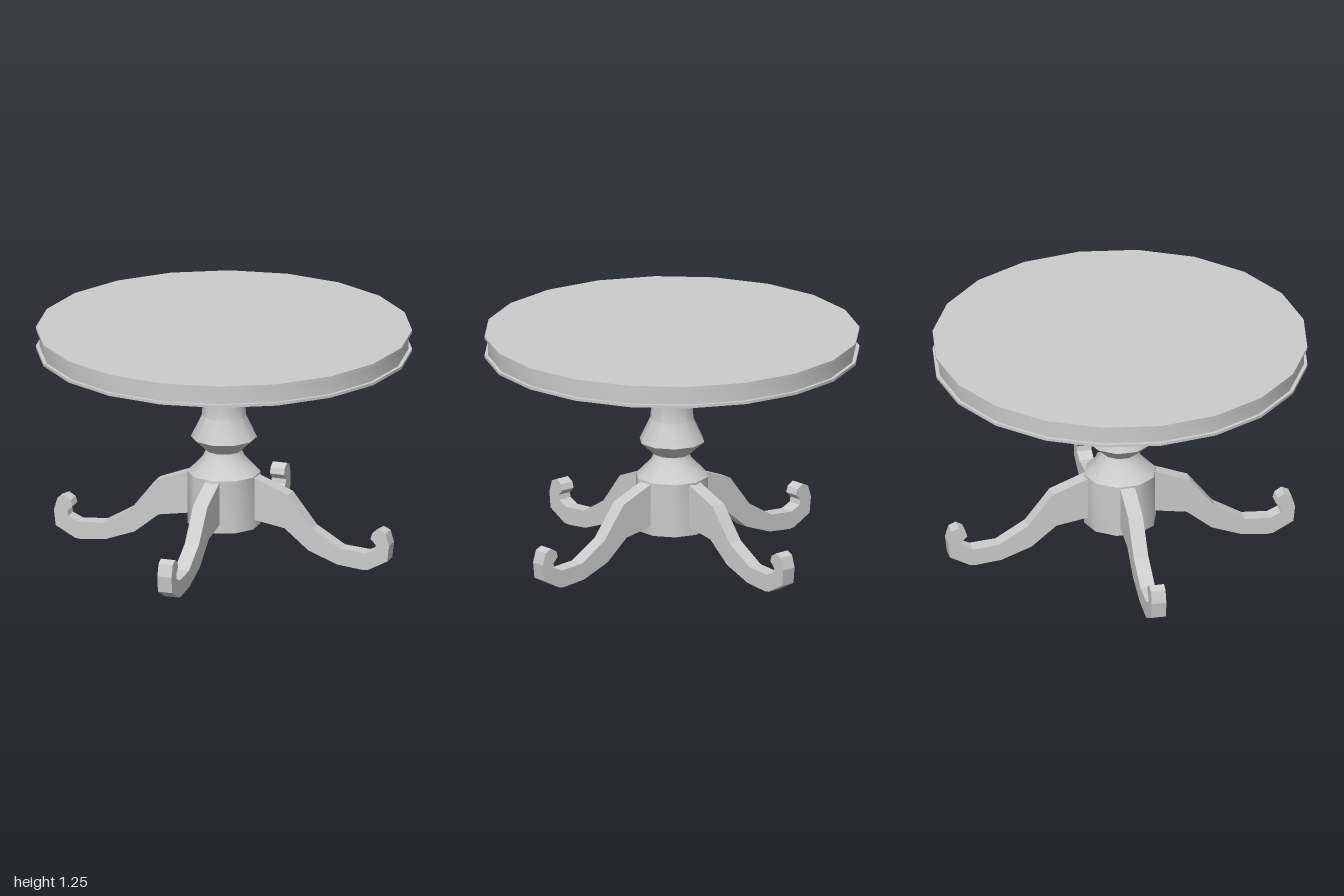
import * as THREE from 'three';
import { toCreasedNormals } from 'three/addons/utils/BufferGeometryUtils.js';

const material = new THREE.MeshStandardMaterial({ color: 0xcccccc });

// Turned part from [radius, height] pairs listed bottom to top
function turned(name, profile, sides, crease) {
  const points = profile.map(([r, y]) => new THREE.Vector2(r, y));
  const geometry = toCreasedNormals(new THREE.LatheGeometry(points, sides), crease);
  const mesh = new THREE.Mesh(geometry, material);
  mesh.name = name;
  return mesh;
}

export function createModel() {
  const table = new THREE.Group();
  table.name = 'pedestalTable';

  // Round top with a recessed band between two thin lips
  table.add(turned('tableTop', [
    [0, 1.131], [1, 1.131], [1, 1.146], [0.981, 1.146],
    [0.981, 1.235], [1, 1.235], [1, 1.25], [0, 1.25],
  ], 20, 0.6));

  // Ten-sided turned column with its drum base
  table.add(turned('column', [
    [0, 0.165], [0.195, 0.165], [0.195, 0.455], [0.112, 0.54], [0.096, 0.575],
    [0.176, 0.648], [0.118, 0.77], [0.11, 0.88], [0.176, 0.998],
    [0.065, 1.01], [0.093, 1.09], [0.073, 1.135], [0, 1.135],
  ], 10, 0.7));

  // Curled leg outline, extruded to an even thickness
  const outline = [
    [0.15, 0.445], [0.187, 0.445], [0.375, 0.372], [0.51, 0.2], [0.67, 0.105],
    [0.81, 0.095], [0.865, 0.12], [0.87, 0.147], [0.84, 0.178], [0.85, 0.21],
    [0.887, 0.232], [0.925, 0.215], [0.945, 0.15], [0.935, 0.062], [0.825, 0.003],
    [0.795, 0], [0.655, 0.014], [0.49, 0.075], [0.355, 0.185], [0.187, 0.213], [0.15, 0.213],
  ].reverse();
  const shape = new THREE.Shape(outline.map(([x, y]) => new THREE.Vector2(x, y)));
  const legGeometry = new THREE.ExtrudeGeometry(shape, { depth: 0.08, bevelEnabled: false });
  legGeometry.translate(0, 0, -0.04);

  // Four legs around the base
  ['leftLeg', 'backLeg', 'rightLeg', 'frontLeg'].forEach((name, i) => {
    const leg = new THREE.Mesh(legGeometry, material);
    leg.name = name;
    leg.rotation.y = i * Math.PI / 2;
    table.add(leg);
  });

  return table;
}
